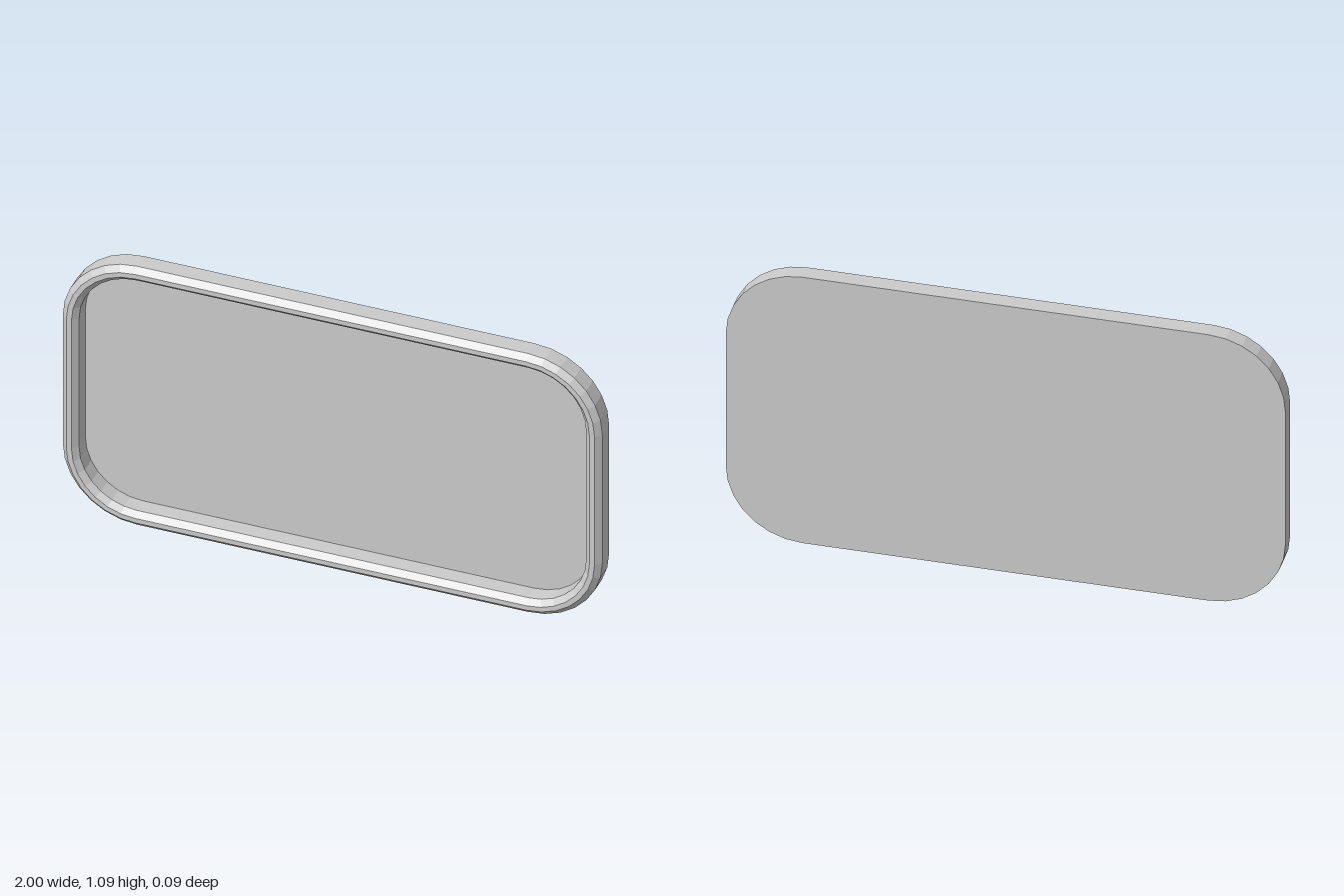
import * as THREE from 'three';

const W = 2, H = 1.092, R = 0.275, SEG = 7;
const material = new THREE.MeshStandardMaterial({ color: 0xcccccc, flatShading: true });

// Rounded rectangle outline, counter-clockwise seen from the front, shrunk by inset
function outline(inset) {
  const points = [];
  const corners = [[1, 1], [-1, 1], [-1, -1], [1, -1]];
  corners.forEach(([sx, sy], i) => {
    for (let k = 0; k <= SEG; k++) {
      const a = (i + k / SEG) * Math.PI / 2;
      points.push(new THREE.Vector2(
        sx * (W / 2 - R) + (R - inset) * Math.cos(a),
        H / 2 + sy * (H / 2 - R) + (R - inset) * Math.sin(a)));
    }
  });
  return points;
}

// Skin a wall through the [inset, z] steps of a profile
function rimGeometry(profile) {
  const position = [], index = [];
  const n = outline(0).length;
  profile.forEach(([inset, z], r) => {
    outline(inset).forEach((p, i) => {
      position.push(p.x, p.y, z);
      if (r === 0) return;
      const j = (i + 1) % n, a = (r - 1) * n, b = r * n;
      index.push(a + i, a + j, b + j, a + i, b + j, b + i);
    });
  });
  const geometry = new THREE.BufferGeometry();
  geometry.setAttribute('position', new THREE.Float32BufferAttribute(position, 3));
  geometry.setIndex(index);
  const flat = geometry.toNonIndexed();
  flat.computeVertexNormals();
  return flat;
}

// Flat panel filling the outline
function panelGeometry(inset, z) {
  return new THREE.ShapeGeometry(new THREE.Shape(outline(inset))).translate(0, 0, z);
}

export function createModel() {
  const group = new THREE.Group();
  group.name = 'roundedTray';
  const add = (name, geometry) => {
    const mesh = new THREE.Mesh(geometry, material);
    mesh.name = name;
    group.add(mesh);
    return mesh;
  };

  const back = -0.043, floor = -0.039, shoulder = 0.022, front = 0.043;

  // Raised rim: outer wall, outer bevel, flat lip, inner bevel, inner wall
  add('rim', rimGeometry([
    [0, back], [0, shoulder], [0.021, front], [0.04, front], [0.06, shoulder], [0.06, floor],
  ]));

  // Recessed floor facing forward
  add('trayFloor', panelGeometry(0.06, floor));

  // Plain back, turned to face backward
  add('backPanel', panelGeometry(0, -back).rotateY(Math.PI));

  return group;
}
